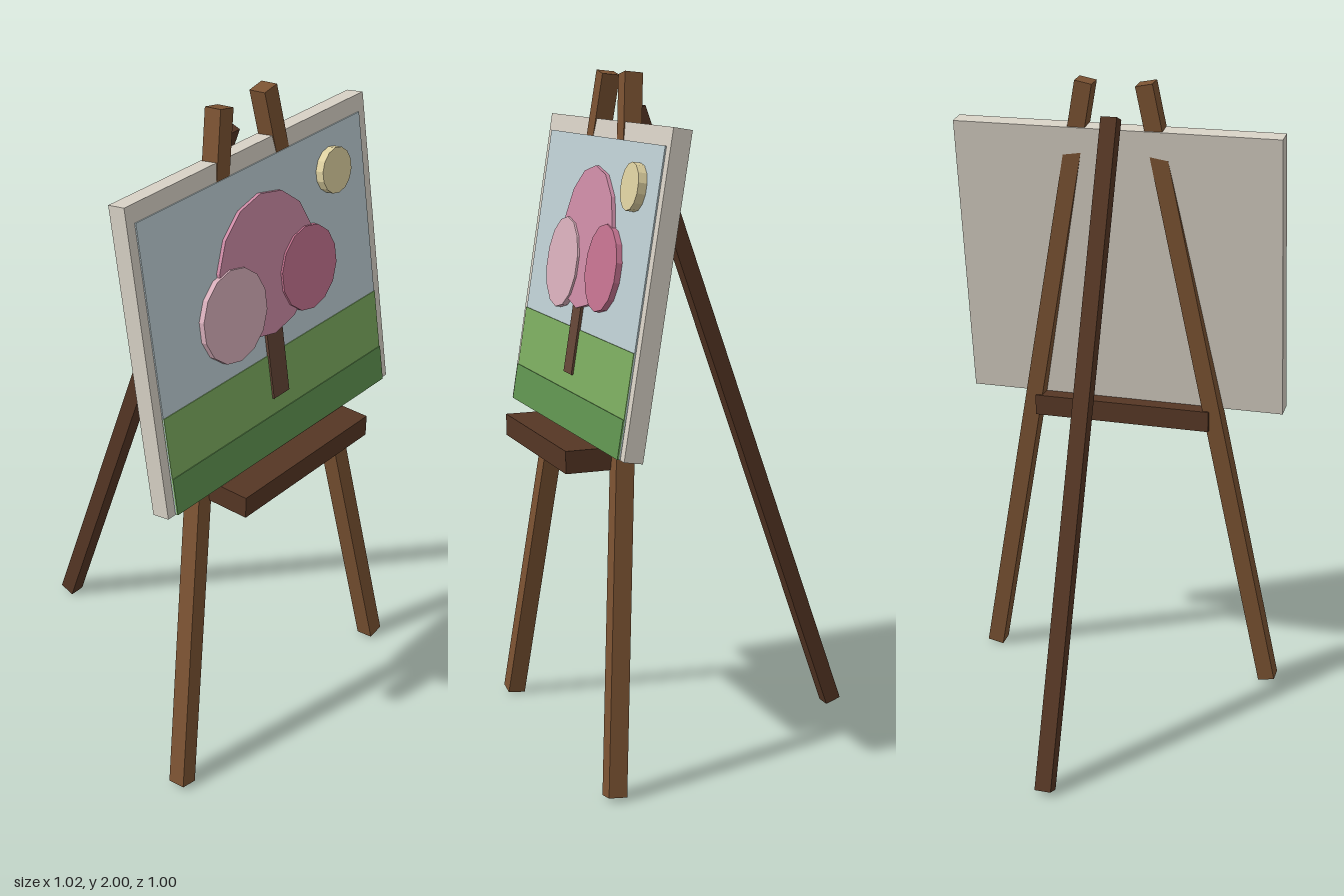
import * as THREE from 'three';

const mat = (color) => new THREE.MeshStandardMaterial({ color, flatShading: true });

function add(parent, name, geometry, color, x = 0, y = 0, z = 0) {
  const mesh = new THREE.Mesh(geometry, mat(color));
  mesh.name = name;
  mesh.position.set(x, y, z);
  parent.add(mesh);
  return mesh;
}

// Square bar running between two points
function bar(parent, name, from, to, size, color) {
  const a = new THREE.Vector3(...from), b = new THREE.Vector3(...to);
  const dir = b.clone().sub(a);
  const mesh = add(parent, name, new THREE.BoxGeometry(size, dir.length(), size), color);
  mesh.position.copy(a).add(b).multiplyScalar(0.5);
  mesh.quaternion.setFromUnitVectors(new THREE.Vector3(0, 1, 0), dir.normalize());
}

export function createModel() {
  const easel = new THREE.Group();
  easel.name = 'easel';

  // Wooden stand: two splayed front legs, one rear leg, a tray
  for (const [side, s] of [['left', 1], ['right', -1]]) {
    bar(easel, side + 'FrontLeg', [s * 0.477, 0.008, 0.433], [s * 0.093, 1.992, 0.228], 0.054, 0x7a5232);
  }
  bar(easel, 'rearLeg', [0, 0.008, -0.476], [0, 1.892, 0.181], 0.05, 0x553624);
  add(easel, 'tray', new THREE.BoxGeometry(0.57, 0.065, 0.2), 0x553624, 0, 0.93, 0.4);

  // Leaning canvas; its local z = 0 is the canvas front
  const canvas = new THREE.Group();
  canvas.name = 'canvas';
  canvas.position.set(0, 1.415, 0.3375);
  canvas.rotation.x = -0.162;
  easel.add(canvas);
  add(canvas, 'canvasBoard', new THREE.BoxGeometry(1.02, 0.902, 0.055), 0xd6d0c4, 0, 0, -0.0275);

  // Flat painted layers, each raised a little above the last
  const layer = (name, width, bottom, top, height, color) =>
    add(canvas, name, new THREE.BoxGeometry(width, top - bottom, height), color, 0, (top + bottom) / 2, height / 2);
  layer('paintedSky', 0.96, -0.45, 0.4, 0.004, 0xbccdd2);
  layer('paintedMeadow', 0.96, -0.45, -0.158, 0.0065, 0x7bab5e);
  layer('paintedForeground', 0.96, -0.45, -0.34, 0.009, 0x5e924f);
  layer('paintedTrunk', 0.07, -0.291, -0.05, 0.0125, 0x634536);

  // Raised round shapes
  const disc = (name, x, y, radius, height, color) => {
    const geometry = new THREE.CylinderGeometry(radius, radius, height, 14).rotateX(Math.PI / 2);
    add(canvas, name, geometry, color, x, y, height / 2);
  };
  disc('mainBlossom', 0, 0.109, 0.208, 0.015, 0xcb8aa4);
  disc('rightBlossom', -0.163, 0.019, 0.135, 0.021, 0xd6adb9);
  disc('leftBlossom', 0.171, 0.037, 0.125, 0.021, 0xc3728f);
  disc('paintedSun', 0.325, 0.278, 0.067, 0.029, 0xdccf9f);

  return easel;
}
